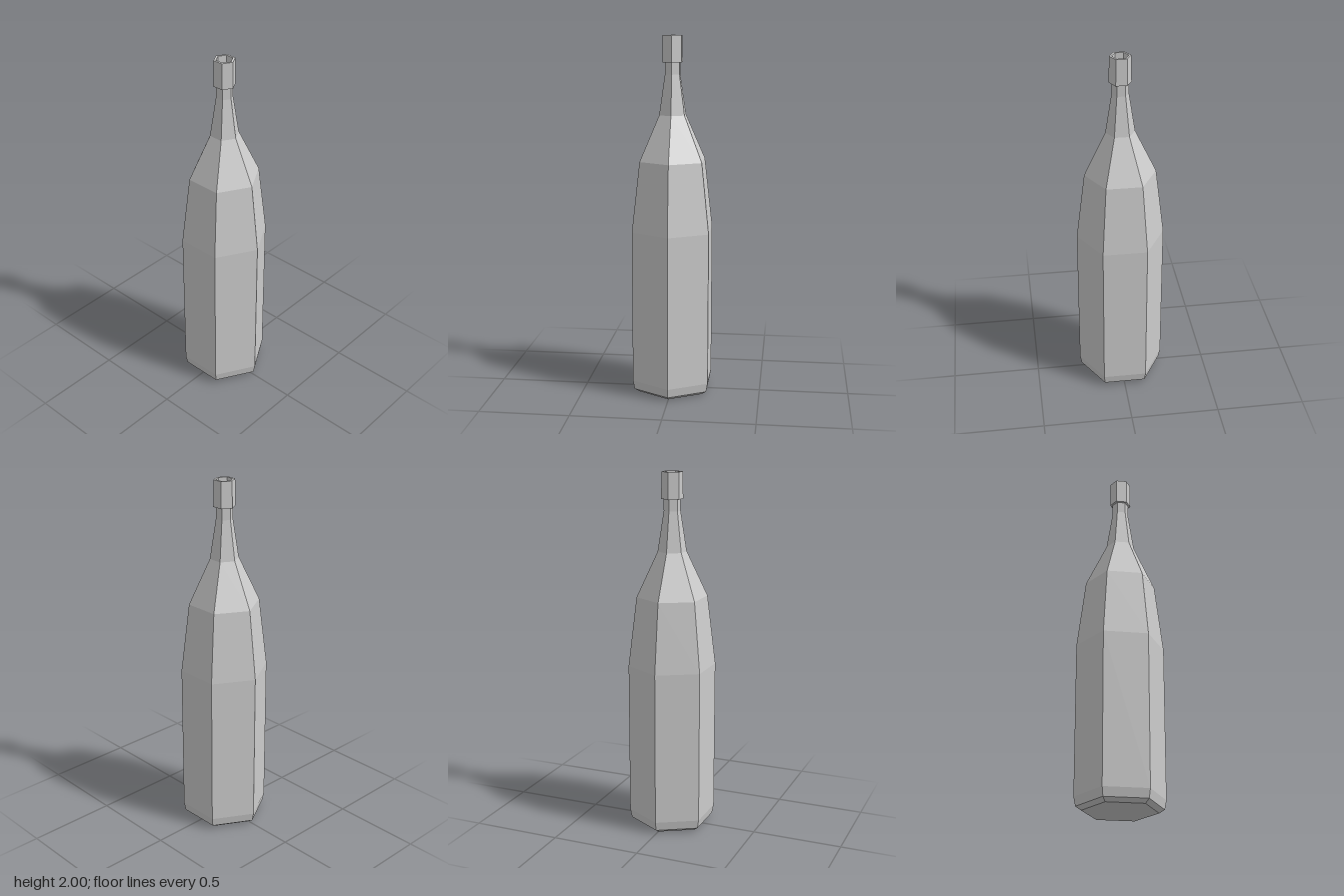
import * as THREE from 'three';

const SIDES = 6;

// Faceted six-sided solid of revolution from [radius, y] pairs
function facetedLathe(name, profile, material) {
  const points = profile.map(([r, y]) => new THREE.Vector2(r, y));
  const geometry = new THREE.LatheGeometry(points, SIDES).toNonIndexed();
  geometry.computeVertexNormals();
  const mesh = new THREE.Mesh(geometry, material);
  mesh.name = name;
  return mesh;
}

export function createModel() {
  const group = new THREE.Group();
  group.name = 'bottle';
  const glass = new THREE.MeshStandardMaterial({ color: 0xcccccc });
  glass.name = 'pale grey';

  // Base, body, shoulder and neck
  group.add(facetedLathe('body', [
    [0, 0], [0.205, 0], [0.235, 0.02], [0.245, 0.07], [0.245, 0.93],
    [0.197, 1.32], [0.08, 1.57], [0.046, 1.79], [0.046, 1.86],
  ], glass));

  // Collar around the mouth, with a recessed opening
  group.add(facetedLathe('mouthCollar', [
    [0.044, 1.855], [0.06, 1.855], [0.058, 2], [0.045, 2], [0.045, 1.86], [0, 1.86],
  ], glass));

  return group;
}
